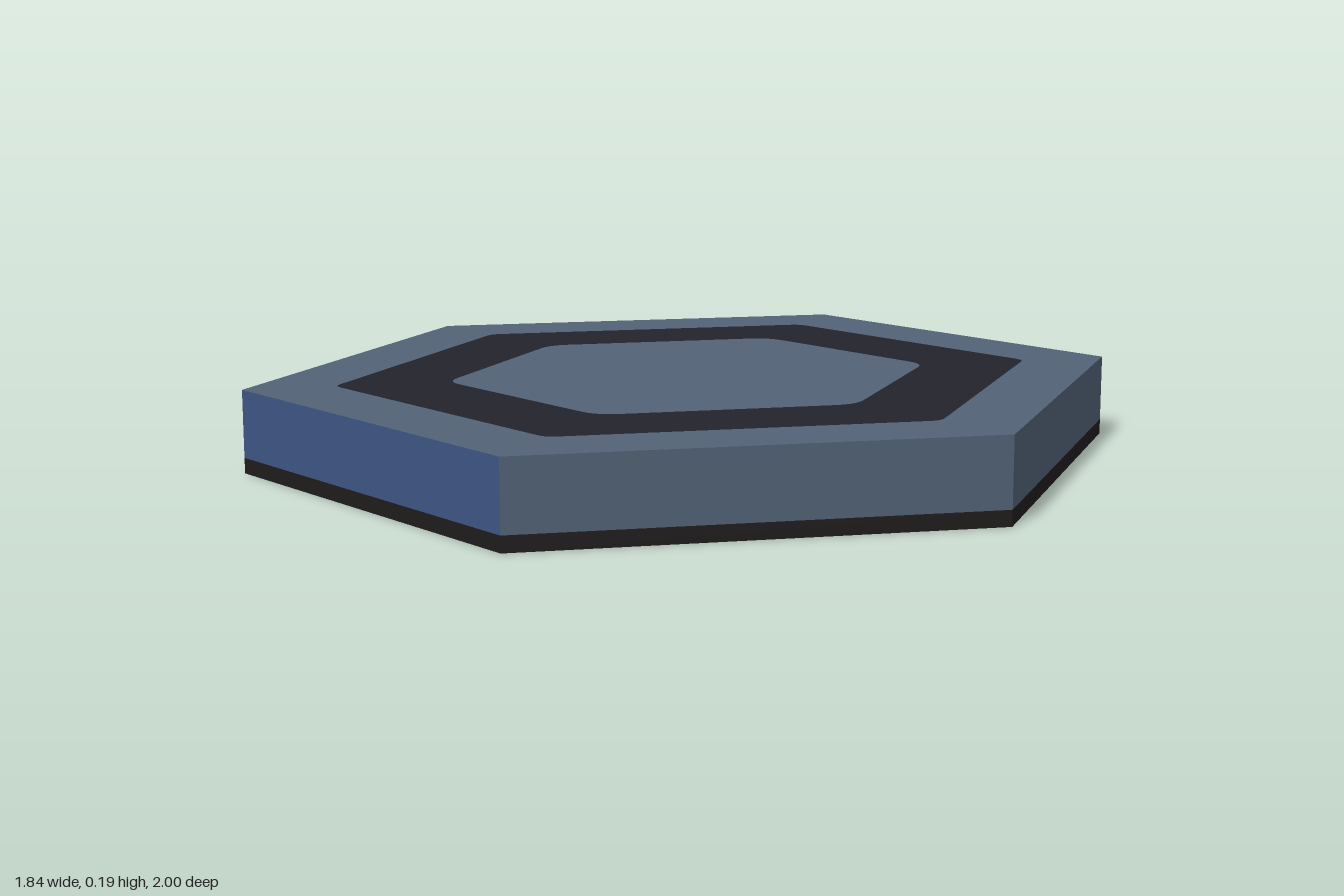
import * as THREE from 'three';

const HEIGHT = 0.193, BAND = 0.036;

const material = (name, color) => {
  const m = new THREE.MeshStandardMaterial({ color, side: THREE.DoubleSide });
  m.name = name;
  return m;
};

// Corners of a hexagon with its points on the z axis
const hexagon = (point, halfWidth, halfSide) => [
  [0, point], [halfWidth, halfSide], [halfWidth, -halfSide],
  [0, -point], [-halfWidth, -halfSide], [-halfWidth, halfSide],
].map(([x, z]) => new THREE.Vector2(x, z));

// Closed outline whose corners are rounded over the distance r
function outline(corners, r, Type = THREE.Shape) {
  const path = new Type();
  const n = corners.length;
  corners.forEach((c, i) => {
    const toward = (o) => c.clone().add(o.clone().sub(c).setLength(r));
    const a = toward(corners[(i + n - 1) % n]);
    const b = toward(corners[(i + 1) % n]);
    if (i === 0) path.moveTo(a.x, a.y);
    else path.lineTo(a.x, a.y);
    if (r > 0) path.quadraticCurveTo(c.x, c.y, b.x, b.y);
  });
  path.closePath();
  return path;
}

export function createModel() {
  const group = new THREE.Group();
  group.name = 'hexagonTile';
  const slate = material('slate', 0x526276);
  const ink = material('ink', 0x23232d);
  const black = material('black', 0x1f1d1c);
  const blue = material('blue', 0x3e5484);

  const add = (name, geometry, mat) => {
    const mesh = new THREE.Mesh(geometry, mat);
    mesh.name = name;
    group.add(mesh);
  };

  // Top face: rim, dark ring and centre lie in one plane
  const edge = hexagon(1, 0.92, 0.49);
  const ringOuter = hexagon(0.8, 0.735, 0.395);
  const ringInner = hexagon(0.55, 0.507, 0.275);
  const topFace = (name, shape, mat, hole) => {
    if (hole) shape.holes.push(hole);
    const g = new THREE.ShapeGeometry(shape, 5);
    g.rotateX(-Math.PI / 2).translate(0, HEIGHT, 0);
    add(name, g, mat);
  };
  topFace('topRim', outline(edge, 0), slate, outline(ringOuter, 0.025, THREE.Path));
  topFace('topRing', outline(ringOuter, 0.025), ink, outline(ringInner, 0.05, THREE.Path));
  topFace('topCentre', outline(ringInner, 0.05), slate);

  // Side walls, open underneath; points are (fraction along the wall, height)
  const panel = (name, side, points, mat) => {
    const a = edge[side], b = edge[(side + 1) % 6];
    const g = new THREE.ShapeGeometry(new THREE.Shape(points.map(([u, y]) => new THREE.Vector2(u, y))));
    const p = g.attributes.position;
    for (let i = 0; i < p.count; i++) {
      const u = p.getX(i);
      p.setXYZ(i, a.x + (b.x - a.x) * u, p.getY(i), a.y + (b.y - a.y) * u);
    }
    const flat = g.toNonIndexed();
    flat.computeVertexNormals();
    add(name, flat, mat);
  };
  const rect = (y0, y1) => [[0, y0], [1, y0], [1, y1], [0, y1]];
  const split = [[0.31, BAND], [0.36, 0.09], [0.46, HEIGHT]];

  for (let side = 0; side < 6; side++) {
    panel('bottomBand', side, rect(0, BAND), black);
    if (side === 3) {
      // This wall changes from slate to blue along a slanted line
      panel('wallSlatePart', side, [[0, BAND], ...split, [0, HEIGHT]], slate);
      panel('wallBluePart', side, [[1, BAND], [1, HEIGHT], ...[...split].reverse()], blue);
    } else {
      panel('wall', side, rect(BAND, HEIGHT), side === 4 ? blue : slate);
    }
  }
  return group;
}
